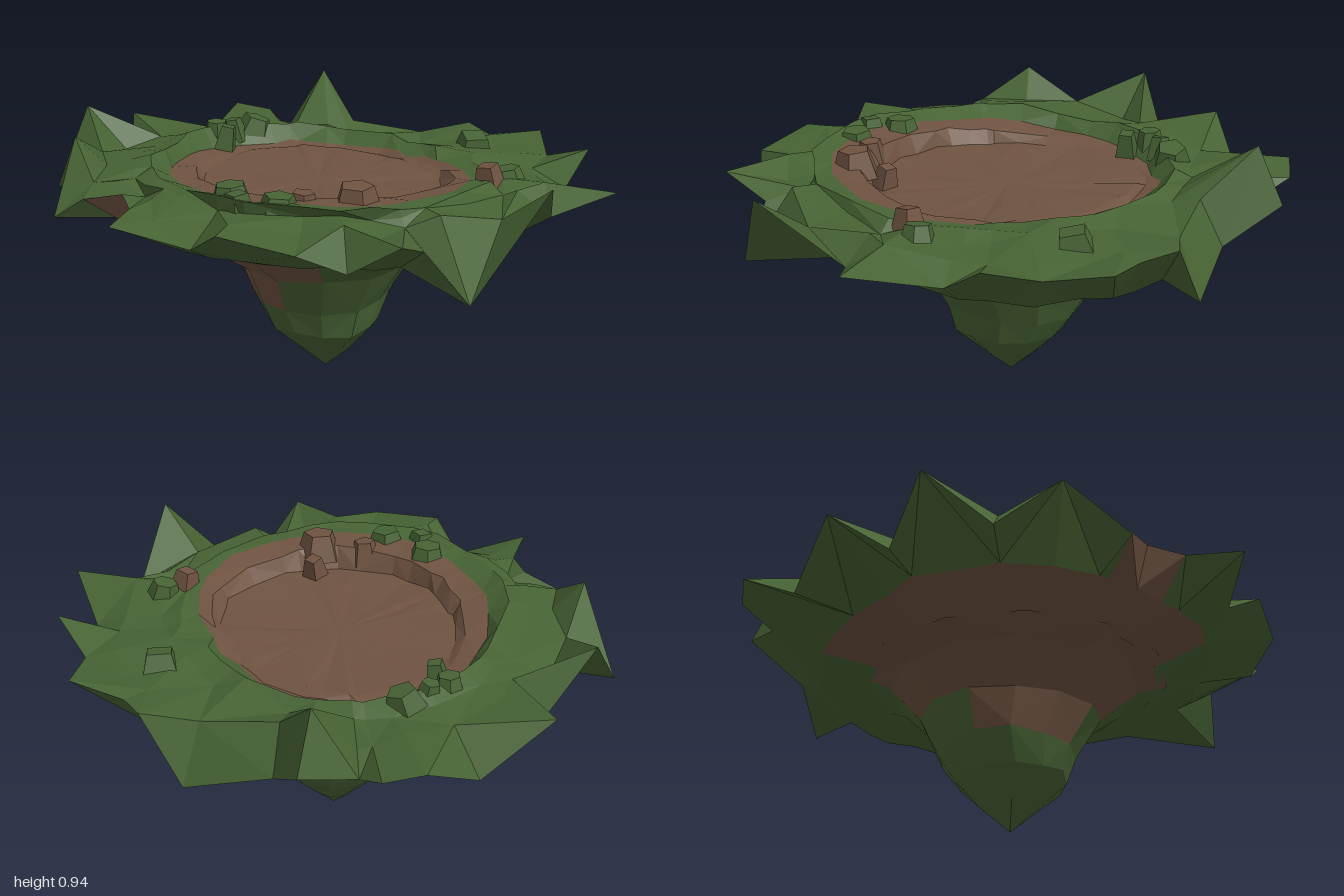
import * as THREE from 'three';

const grass = new THREE.MeshStandardMaterial({ color: 0x476334 });
grass.name = 'grass green';
const earth = new THREE.MeshStandardMaterial({ color: 0x6f5341 });
earth.name = 'earth brown';

// Jagged rim corners [x, y, z], clockwise from above, starting at the back
const RIM = [
  [0.17, 0.78, -0.99], [0.34, 0.74, -0.84], [0.55, 0.81, -0.83], [0.59, 0.7, -0.66],
  [0.9, 0.77, -0.57], [0.79, 0.7, -0.36], [1.0, 0.89, -0.12], [0.94, 0.55, 0.18],
  [0.82, 0.72, 0.27], [0.9, 0.79, 0.44], [0.74, 0.68, 0.52], [0.68, 0.76, 0.68],
  [0.44, 0.79, 0.8], [0.28, 0.7, 0.78], [0.12, 0.78, 0.98], [0.0, 0.78, 0.82],
  [-0.13, 0.79, 0.76], [-0.28, 0.75, 0.82], [-0.36, 0.68, 0.89], [-0.49, 0.91, 0.71],
  [-0.74, 0.66, 0.64], [-0.86, 0.91, 0.42], [-0.83, 0.7, 0.24], [-1.0, 0.81, 0.12],
  [-0.93, 0.64, -0.13], [-0.97, 0.78, -0.38], [-0.89, 0.75, -0.49], [-0.76, 0.69, -0.48],
  [-0.71, 0.74, -0.68], [-0.5, 0.61, -0.63], [-0.27, 0.53, -0.83], [-0.13, 0.77, -0.9],
  [0, 0.75, -0.88],
];

// Basin edge radius every 30 degrees, from +x towards +z
const BASIN = [0.61, 0.64, 0.62, 0.57, 0.53, 0.52, 0.54, 0.54, 0.48, 0.44, 0.47, 0.57];

let seed = 7;
const rand = (amp) => {
  seed = (seed * 16807) % 2147483647;
  return (seed / 2147483647 * 2 - 1) * amp;
};

function basinRadius(angle) {
  const t = ((angle / (Math.PI * 2)) * 12 + 24) % 12;
  const i = Math.floor(t);
  return THREE.MathUtils.lerp(BASIN[i], BASIN[(i + 1) % 12], t - i);
}

const polar = (a, r, y, dx = 0, dz = 0) =>
  new THREE.Vector3(Math.cos(a) * r + dx, y, Math.sin(a) * r + dz);

// Faceted skin between rings, sorted into one mesh per colour
function addSkin(group, name, rings, isEarth) {
  const soup = { grass: [], earth: [] };
  for (let k = 0; k < rings.length - 1; k++) {
    const n = rings[k].length;
    for (let i = 0; i < n; i++) {
      const j = (i + 1) % n;
      const [a, b, c, d] = [rings[k][i], rings[k][j], rings[k + 1][j], rings[k + 1][i]];
      const mid = a.clone().add(b).add(c).add(d).multiplyScalar(0.25);
      const list = isEarth(mid, k) ? soup.earth : soup.grass;
      const tris = (i + k) % 2 ? [a, d, c, a, c, b] : [a, d, b, d, c, b];
      for (const p of tris) list.push(p.x, p.y, p.z);
    }
  }
  for (const [key, mat] of [['grass', grass], ['earth', earth]]) {
    if (!soup[key].length) continue;
    const g = new THREE.BufferGeometry();
    g.setAttribute('position', new THREE.Float32BufferAttribute(soup[key], 3));
    g.computeVertexNormals();
    const mesh = new THREE.Mesh(g, mat);
    mesh.name = name + (key === 'grass' ? 'Grass' : 'Earth');
    group.add(mesh);
  }
}

// Brown soil covers the front and right half of the underside
const soilUnder = (p) => {
  const r = Math.hypot(p.x, p.z);
  if (p.y < 0.44) return p.y > 0.29 && p.z > 0.1 && p.x < 0.1;
  const t = (p.z - p.x) / r;
  return t > -0.1 && r < 0.57 + 0.13 * t;
};

// Small angular stone
function addStone(group, x, y, z, size, height, mat, sides = 5) {
  const g = new THREE.CylinderGeometry(size * 0.65, size, height, sides, 1).toNonIndexed();
  g.computeVertexNormals();
  const m = new THREE.Mesh(g, mat);
  m.name = mat === grass ? 'mossyStone' : 'stone';
  m.position.set(x, y, z);
  m.rotation.set(rand(0.2), rand(3), rand(0.2));
  group.add(m);
}

export function createModel() {
  const island = new THREE.Group();
  island.name = 'floatingIsland';

  // Tapering root below: [radius, height, x offset, z offset]
  const root = [[0, 0, 0, -0.03], [0.1, 0.09, 0, -0.03], [0.2, 0.19, 0, -0.02], [0.25, 0.29, -0.02, -0.03],
    [0.325, 0.435, 0, -0.03], [0.46, 0.54, 0, 0], [0.56, 0.58, 0, 0]];
  const rootRings = root.map(([r, y, dx, dz], k) => Array.from({ length: 12 }, (_, i) => {
    const loose = k > 0 && k < 6 ? 0.01 : 0;
    return polar((i / 12) * Math.PI * 2 + 0.2, r + rand(loose), y + rand(loose), dx, dz);
  }));
  addSkin(island, 'root', rootRings, soilUnder);

  // Overhanging rim, from the underside out to the jagged edge
  const angles = RIM.map(([x, , z]) => Math.atan2(z, x));
  const edge = RIM.map((p) => new THREE.Vector3(...p));
  const ring = (radius, height, jr, jy) => angles.map((a, i) =>
    polar(a, radius(a, Math.hypot(RIM[i][0], RIM[i][2])) + rand(jr), height(a) + rand(jy)));
  // Underside sags towards the back, slightly to the right
  const sag = (a) => 0.645 - 0.02 * Math.cos(a) - 0.09 * Math.max(0, Math.cos(a + 1.92));
  addSkin(island, 'underside', [
    ring(() => 0.52, () => 0.57, 0, 0),
    ring(() => 0.71, sag, 0.015, 0.01),
    edge,
  ], (p, k) => (k === 0 ? soilUnder(p) : p.z > 0.6 && p.x > -0.25 && p.x < 0));

  // Grassy shoulder, dipping to a ridge around the basin, higher at the front
  const slope = (base, rise) => (a) => base + rise * Math.sin(a);
  const lipHeight = (a) => 0.775 + 0.045 * Math.cos(a - Math.PI / 4);
  const crest = ring((a, r) => Math.min(0.79, r * 0.87), slope(0.775, 0.015), 0.03, 0.03);
  crest[28].set(-0.66, 0.94, -0.59); // tall peak at the back right
  const trough = ring((a) => Math.min(0.68, basinRadius(a) + 0.13), slope(0.785, 0.025), 0.015, 0.02);
  const ridge = ring((a) => basinRadius(a) + 0.06, slope(0.805, 0.03), 0.02, 0.012);
  const lip = ring((a) => basinRadius(a), lipHeight, 0.015, 0.008);
  addSkin(island, 'shoulder', [edge, crest, trough, ridge, lip], () => false);

  // Earth basin: a shelf with a step down at the front and left, level at the back right
  const step = (a) => basinRadius(a) * (0.81 - 0.06 * Math.cos(a - Math.PI / 3));
  addSkin(island, 'basin', [
    lip,
    ring((a) => step(a) + 0.035, (a) => lipHeight(a) - 0.012, 0.012, 0.006),
    ring(step, () => 0.735, 0.012, 0.005),
    ring((a) => basinRadius(a) * 0.45, () => 0.728, 0.02, 0.005),
    ring(() => 0, () => 0.728, 0, 0),
  ], () => true);

  // Stones scattered along the basin edge
  addStone(island, 0.48, 0.81, 0.25, 0.09, 0.1, earth);
  addStone(island, 0.36, 0.79, 0.38, 0.06, 0.09, earth);
  addStone(island, 0.4, 0.77, 0.17, 0.05, 0.08, earth, 4);
  addStone(island, 0.54, 0.8, -0.31, 0.06, 0.08, earth, 4);
  const mossy = [[0.12, -0.67, 0.09], [0.37, 0.49, 0.08], [0.17, 0.53, 0.08], [0.27, 0.58, 0.06],
    [-0.59, -0.17, 0.08], [-0.61, 0.0, 0.06], [-0.52, 0.02, 0.05], [-0.6, -0.08, 0.05],
    [0.55, -0.4, 0.07]];
  mossy.forEach(([x, z, s], i) =>
    addStone(island, x, 0.785 + 0.035 * z, z, s, 0.09, grass, 4 + (i % 3)));

  return island;
}
